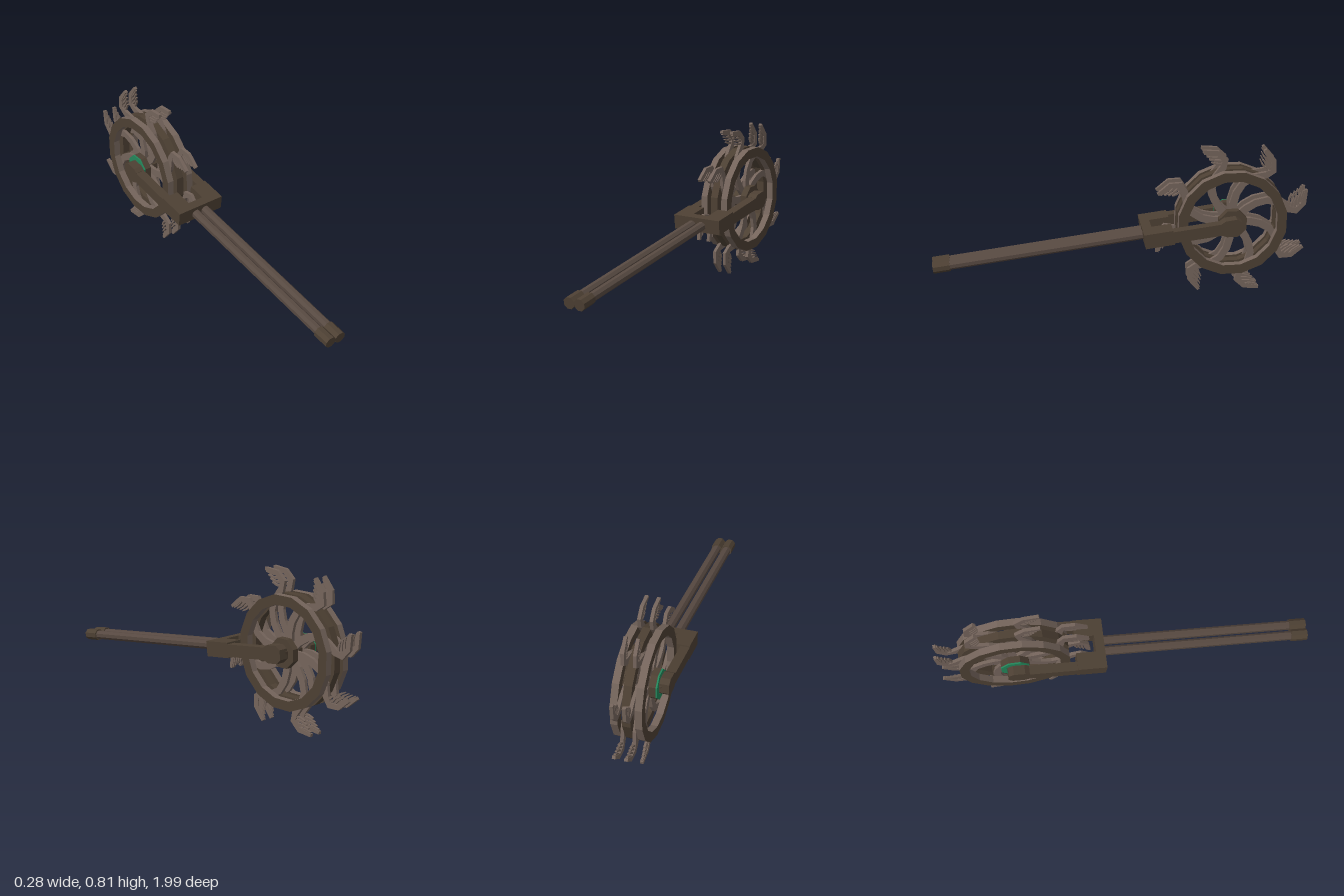
import * as THREE from 'three';

const mat = (name, color) => {
  const m = new THREE.MeshStandardMaterial({ color, flatShading: true });
  m.name = name;
  return m;
};

export function createModel() {
  const dark = mat('darkWood', 0x4d4033);
  const mid = mat('poleWood', 0x574941);
  const light = mat('paleWood', 0x74645b);
  const green = mat('greenTrim', 0x23865a);
  const root = new THREE.Group();

  const add = (parent, name, geo, material, x = 0, y = 0, z = 0) => {
    const m = new THREE.Mesh(geo, material);
    m.name = name;
    m.position.set(x, y, z);
    parent.add(m);
    return m;
  };

  // Side profile (backwards, up) extruded along x and centred on it
  const slab = (shape, width) => {
    const g = new THREE.ExtrudeGeometry(shape, { depth: width, bevelEnabled: false, curveSegments: 1 });
    g.translate(0, 0, -width / 2);
    g.rotateY(Math.PI / 2);
    return g;
  };

  const polar = (r, deg) =>
    new THREE.Vector2(r * Math.cos(deg * Math.PI / 180), r * Math.sin(deg * Math.PI / 180));

  // Ribbon outline following a centre line, with a width at every point
  const ribbon = (pts, widths) => {
    const a = [], b = [];
    pts.forEach((p, i) => {
      const d = pts[Math.min(i + 1, pts.length - 1)].clone().sub(pts[Math.max(i - 1, 0)]).normalize();
      const n = new THREE.Vector2(-d.y, d.x).multiplyScalar(widths[i] / 2);
      a.push(p.clone().sub(n));
      b.unshift(p.clone().add(n));
    });
    return new THREE.Shape([...a, ...b]);
  };

  // Tilted frame: twin poles and the wheel fork
  const frame = new THREE.Group();
  frame.name = 'frame';
  frame.position.set(0, 0.354, -0.115);
  frame.rotation.x = 0.122;
  root.add(frame);

  const rod = (r, len) => new THREE.CylinderGeometry(r, r, len, 8).rotateY(Math.PI / 8).rotateX(Math.PI / 2);
  for (const s of [-1, 1]) {
    add(frame, 'pole', rod(0.025, 1.1), mid, s * 0.03, -0.003, 0.53);
    add(frame, 'poleCap', rod(0.032, 0.09), dark, s * 0.03, -0.003, 1.073);
    add(frame, 'forkShoulder', new THREE.BoxGeometry(0.095, 0.08, 0.155), dark, s * 0.0925, 0, -0.0775);
    add(frame, 'forkArm', new THREE.BoxGeometry(0.05, 0.064, 0.29), dark, s * 0.115, 0, -0.29);
    const end = new THREE.Shape([[0.41, -0.033], [0.435, -0.046], [0.495, -0.046], [0.52, -0.025],
      [0.52, 0.025], [0.495, 0.046], [0.435, 0.046], [0.41, 0.033]].map(p => new THREE.Vector2(...p)));
    add(frame, 'forkEnd', slab(end, 0.052), dark, s * 0.114, 0, 0);
  }
  add(frame, 'crossbar', new THREE.BoxGeometry(0.28, 0.08, 0.05), dark, 0, 0, -0.025);

  // Wheel: three faceted rings on one hub
  const wheel = new THREE.Group();
  wheel.name = 'wheel';
  wheel.position.set(0, 0.409, -0.59);
  root.add(wheel);

  const polygon = (r, n) => Array.from({ length: n }, (_, i) => polar(r, (i + 0.5) * 360 / n));
  const ringShape = (outer, inner, n) => {
    const s = new THREE.Shape(polygon(outer, n));
    s.holes.push(new THREE.Path(polygon(inner, n).reverse()));
    return s;
  };
  for (const s of [-1, 1]) {
    add(wheel, 'outerRing', slab(ringShape(0.295, 0.243, 16), 0.037), [dark, light], s * 0.0625, 0, 0);
    add(wheel, 'hubDisc', slab(new THREE.Shape(polygon(0.08, 8)), 0.036), dark, s * 0.063, 0, 0);
  }
  add(wheel, 'middleRing', slab(ringShape(0.295, 0.243, 16), 0.042), dark);
  add(wheel, 'axle', slab(new THREE.Shape(polygon(0.045, 8)), 0.2), dark);
  add(wheel, 'hubTrim', slab(ringShape(0.08, 0.05, 8), 0.008), green, -0.085, 0, 0);

  // Swept arms running through the gaps between rings and ending in clawed hands
  const armPath = [[0.03, 10], [0.10, 19], [0.16, 15], [0.22, 8], [0.27, -2],
    [0.31, -12], [0.35, -15], [0.395, -10], [0.43, 0]].map(p => polar(...p));
  const armGeo = slab(ribbon(armPath, [0.04, 0.042, 0.04, 0.038, 0.036, 0.036, 0.034, 0.028, 0.016]), 0.018);

  // Short fingers on the inner side of each hand
  const fingerGeos = [0, 1, 2, 3].map(i => {
    const r = 0.325 + i * 0.02;
    const path = [polar(r, -14 + i), polar(r + 0.012, -7 + i), polar(r + 0.03, -3 + i)];
    return slab(ribbon(path, [0.012, 0.01, 0.006]), 0.012);
  });

  for (const s of [-1, 1]) {
    for (let k = 0; k < 8; k++) {
      const arm = new THREE.Group();
      arm.name = 'clawArm';
      arm.position.x = s * 0.031;
      arm.rotation.x = (22 + 45 * k) * Math.PI / 180;
      add(arm, 'arm', armGeo, light);
      fingerGeos.forEach(g => add(arm, 'finger', g, light));
      wheel.add(arm);
    }
  }
  return root;
}
